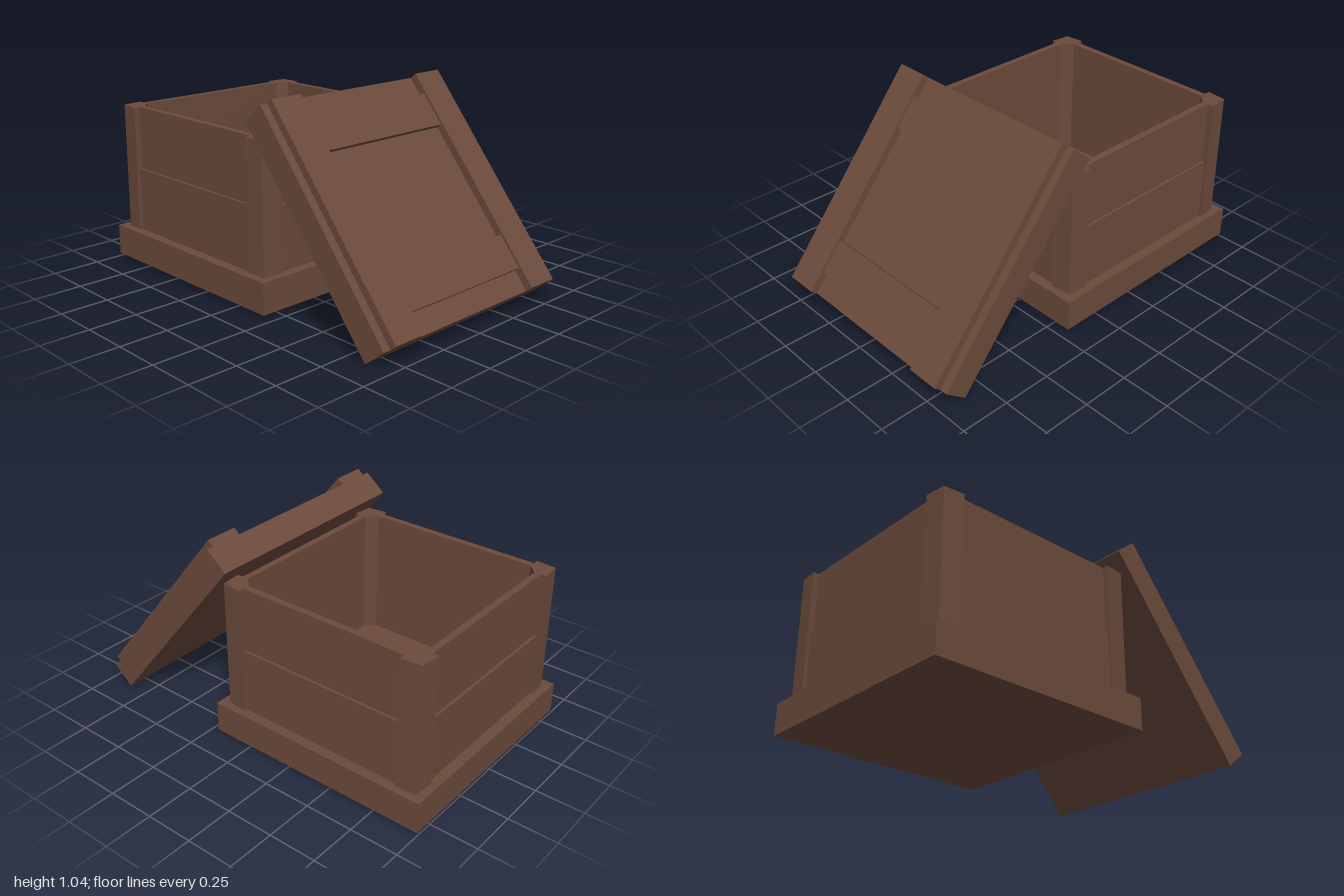
import * as THREE from 'three';

const wood = new THREE.MeshStandardMaterial({ color: 0x6b4a3b, flatShading: true });

// Adds a box given by its min and max corners
function addBox(parent, name, [x0, y0, z0], [x1, y1, z1]) {
  const mesh = new THREE.Mesh(new THREE.BoxGeometry(x1 - x0, y1 - y0, z1 - z0), wood);
  mesh.position.set((x0 + x1) / 2, (y0 + y1) / 2, (z0 + z1) / 2);
  mesh.name = name;
  parent.add(mesh);
}

function createCrate() {
  const crate = new THREE.Group();
  crate.name = 'crate';
  crate.position.set(-0.398, 0, 0);
  const floor = 0.177, split = 0.51, top = 0.84;

  // Solid plinth
  addBox(crate, 'base', [-0.602, 0.016, -0.6], [0.602, floor, 0.6]);

  // Corner post section: flared outer faces, bevelled inner corner
  const section = new THREE.Shape([
    [0.555, 0.555], [0.45, 0.565], [0.45, 0.5], [0.5, 0.45], [0.565, 0.45],
  ].map(([x, y]) => new THREE.Vector2(x, y)));
  const postGeometry = new THREE.ExtrudeGeometry(section, { depth: top - floor, bevelEnabled: false });
  postGeometry.rotateX(-Math.PI / 2);

  // Four sides, each with two planks and one post
  for (let i = 0; i < 4; i++) {
    const side = new THREE.Group();
    side.name = 'side' + (i + 1);
    side.rotation.y = i * Math.PI / 2;
    addBox(side, 'lowerPlank', [-0.45, floor, 0.5], [0.45, split, 0.549]);
    addBox(side, 'upperPlank', [-0.45, split, 0.5], [0.45, top, 0.534]);
    const post = new THREE.Mesh(postGeometry, wood);
    post.name = 'cornerPost';
    post.position.y = floor;
    side.add(post);
    crate.add(side);
  }
  return crate;
}

// Lid: local x runs down its slope, local y points out of its top face
function createLid() {
  const lid = new THREE.Group();
  lid.name = 'lid';
  const length = 1.2, thick = 0.138;
  addBox(lid, 'lidPanel', [0, 0, -0.6], [length, thick, 0.6]);
  for (const s of [-1, 1]) {
    const z = s * 0.474;
    addBox(lid, 'longBatten', [0, thick, z - 0.086], [length, thick + 0.04, z + 0.086]);
    const x = length / 2 + s * 0.4;
    addBox(lid, 'crossBatten', [x - 0.09, thick, -0.388], [x + 0.09, thick + 0.028, 0.388]);
  }
  lid.position.set(0.1, 0.927, 0);
  lid.rotation.z = Math.atan2(-0.773, 0.635);
  return lid;
}

export function createModel() {
  const model = new THREE.Group();
  model.name = 'openCrate';
  model.add(createCrate(), createLid());
  return model;
}
